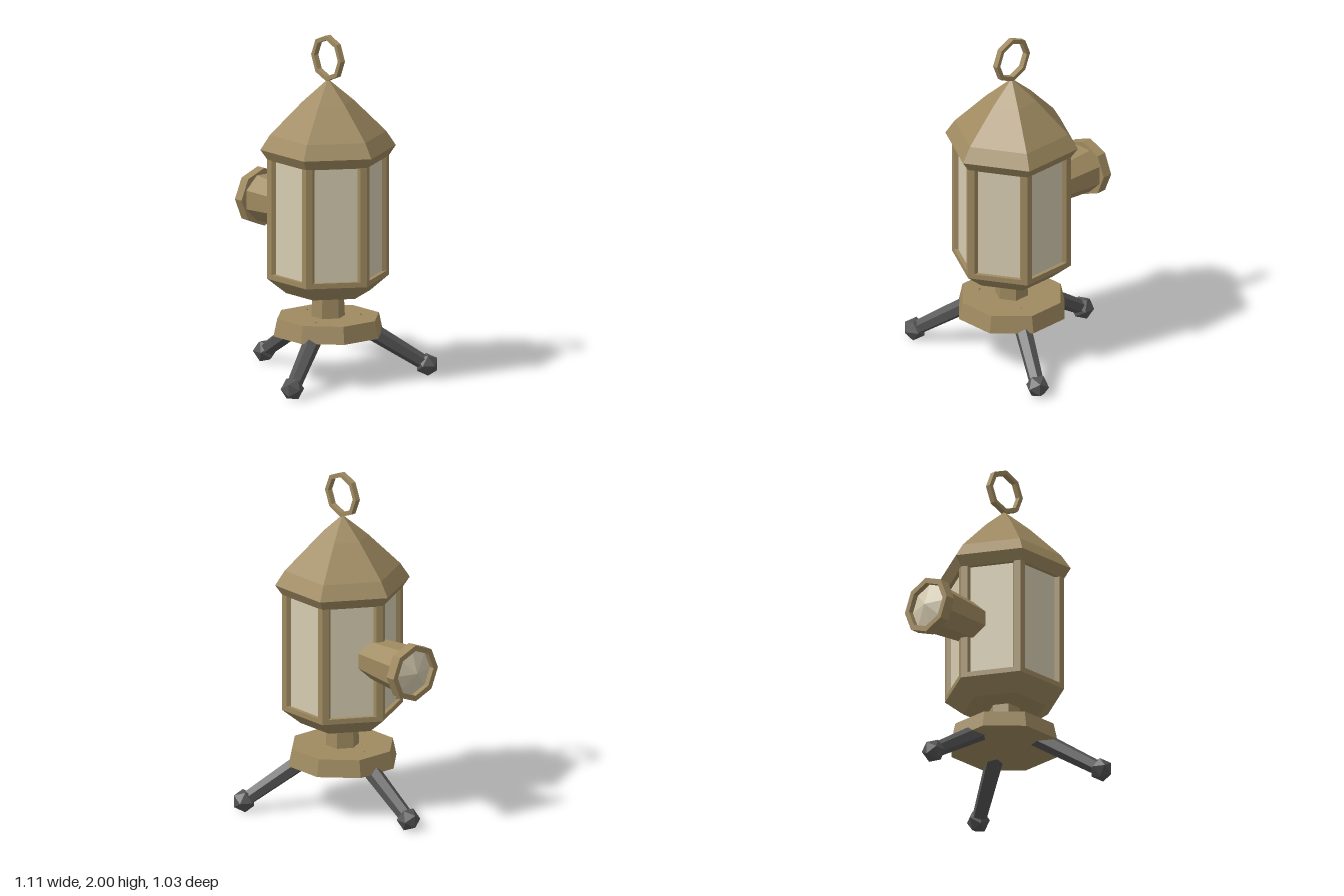
import * as THREE from 'three';

const mat = (name, color) => {
  const m = new THREE.MeshStandardMaterial({ color, flatShading: true });
  m.name = name;
  return m;
};

export function createModel() {
  const brass = mat('brass', 0x9f8a60);
  const glass = mat('cream glass', 0xd6ccb1);
  const iron = mat('dark iron', 0x555556);

  const model = new THREE.Group();
  model.name = 'lantern';
  const axis = new THREE.Group(); // central upright axis of the lantern
  axis.name = 'lanternBody';
  axis.position.set(-0.0075, 0, 0.1275);
  model.add(axis);

  const add = (parent, name, geometry, material) => {
    const mesh = new THREE.Mesh(geometry, material);
    mesh.name = name;
    parent.add(mesh);
    return mesh;
  };
  // Faceted turned part from [radius, height] pairs, listed bottom to top
  const turned = (points, sides, start = 0) =>
    new THREE.LatheGeometry(points.map(p => new THREE.Vector2(...p)), sides, start);
  // Flat ring with a rectangular section
  const ring = (inner, outer, y0, y1) =>
    turned([[inner, y0], [outer, y0], [outer, y1], [inner, y1], [inner, y0]], 8);

  // Roof, tray and neck
  add(axis, 'roof', turned([[0, 1.285], [0.348, 1.285], [0.39, 1.345], [0.335, 1.43], [0.148, 1.618], [0, 1.745]], 6), brass);
  add(axis, 'tray', turned([[0, 0.505], [0.242, 0.505], [0.35, 0.592], [0.35, 0.622], [0, 0.622]], 6), brass);
  add(axis, 'neck', turned([[0.097, 0.36], [0.09, 0.51]], 6), brass);

  // Eight-sided base plate
  add(axis, 'basePlate', turned([[0, 0.265], [0.324, 0.265], [0.302, 0.365], [0, 0.365]], 8, Math.PI / 8), brass);

  // Glass panes and corner posts
  add(axis, 'glassPanes', turned([[0.323, 0.615], [0.323, 1.29]], 6), glass);
  for (let i = 0; i < 6; i++) {
    const a = i * Math.PI / 3;
    const post = add(axis, 'cornerPost', new THREE.CylinderGeometry(0.0375, 0.0375, 0.67, 6), brass);
    post.position.set(0.3125 * Math.sin(a), 0.953, 0.3125 * Math.cos(a));
  }

  // Hanging ring
  const hanger = add(axis, 'hangingRing', ring(0.107, 0.133, -0.016, 0.016), brass);
  hanger.rotation.z = Math.PI / 2;
  hanger.position.y = 1.867;

  // Projector at the back: barrel, rim and faceted lens
  const lamp = new THREE.Group();
  lamp.name = 'projector';
  lamp.rotation.x = -Math.PI / 2;
  lamp.position.y = 0.956;
  axis.add(lamp);
  add(lamp, 'barrel', turned([[0, 0.12], [0.104, 0.12], [0.1435, 0.575], [0, 0.575]], 8, Math.PI / 8), brass);
  add(lamp, 'lensRim', ring(0.135, 0.168, 0.5725, 0.6325), brass);
  add(lamp, 'lens', turned([[0.137, 0.6], [0, 0.6445]], 8), glass);

  // Three splayed legs with faceted feet
  const foot = new THREE.Vector3(0, 0.06, 0.57);
  const hip = new THREE.Vector3(0, 0.325, 0.16);
  for (const a of [Math.PI / 3, -Math.PI / 3, Math.PI]) {
    const leg = new THREE.Group();
    leg.name = 'leg';
    leg.rotation.y = a;
    axis.add(leg);
    const shaft = add(leg, 'legShaft', new THREE.CylinderGeometry(0.053, 0.042, foot.distanceTo(hip), 6), iron);
    shaft.position.copy(foot).lerp(hip, 0.5);
    shaft.rotation.x = Math.atan2(hip.z - foot.z, hip.y - foot.y);
    add(leg, 'foot', new THREE.IcosahedronGeometry(0.068), iron).position.copy(foot);
  }

  return model;
}
